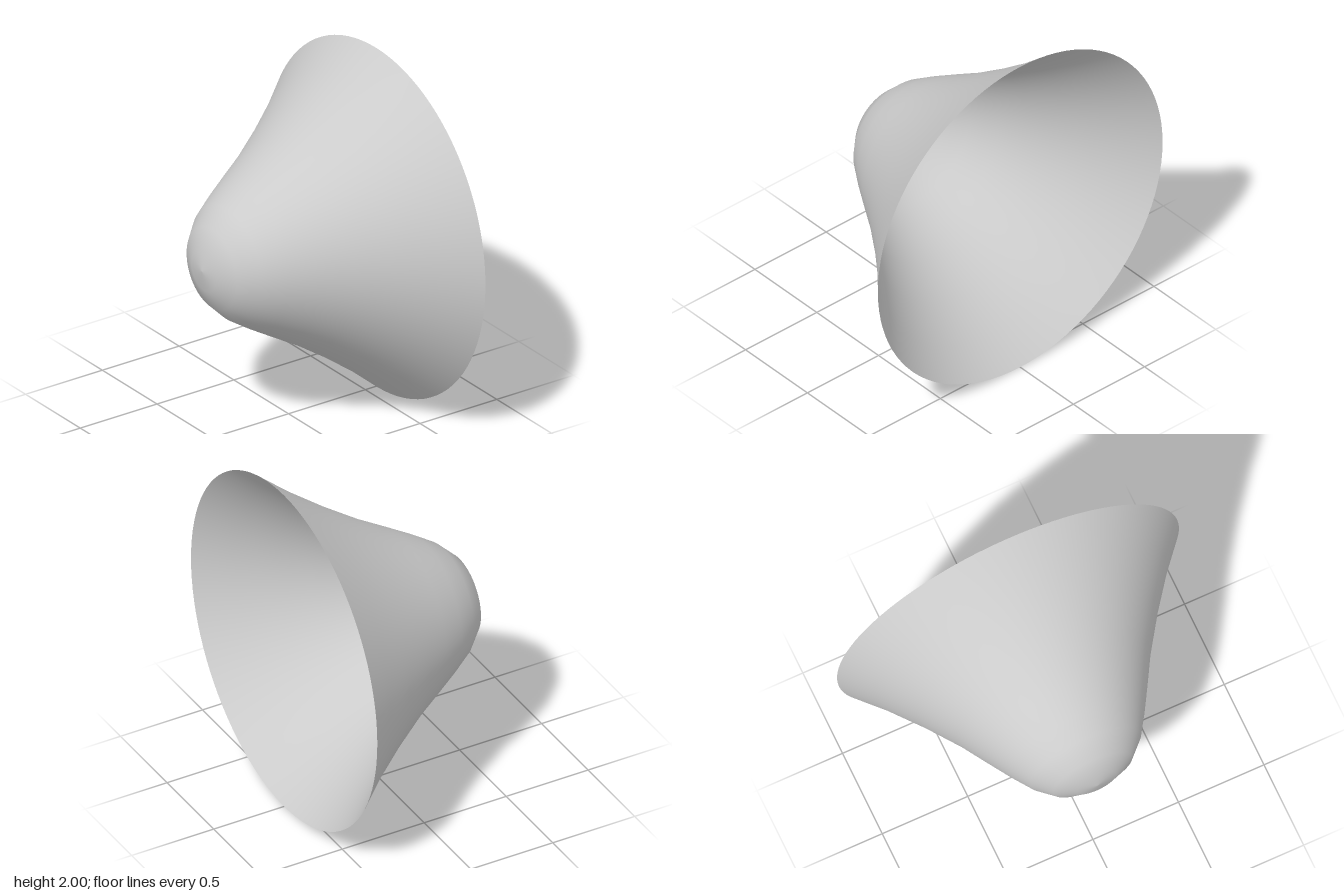
import * as THREE from 'three';

export function createModel() {
  const group = new THREE.Group();
  group.name = 'bell';

  // Profile from the open back rim to the rounded front tip: [radius, z]
  const profile = [
    [1, -0.57], [0.855, -0.4], [0.705, -0.2], [0.57, 0], [0.483, 0.15],
    [0.4, 0.29], [0.325, 0.405], [0.23, 0.5], [0.115, 0.55], [0, 0.565],
  ].map(([r, z]) => new THREE.Vector2(r, z));

  // Thin open shell, turned so its axis runs along z
  const geometry = new THREE.LatheGeometry(profile, 96);
  geometry.rotateX(Math.PI / 2);
  const shell = new THREE.Mesh(
    geometry,
    new THREE.MeshStandardMaterial({ color: 0xcccccc, side: THREE.DoubleSide }),
  );
  shell.name = 'bellShell';
  shell.position.y = 1;
  group.add(shell);

  return group;
}
